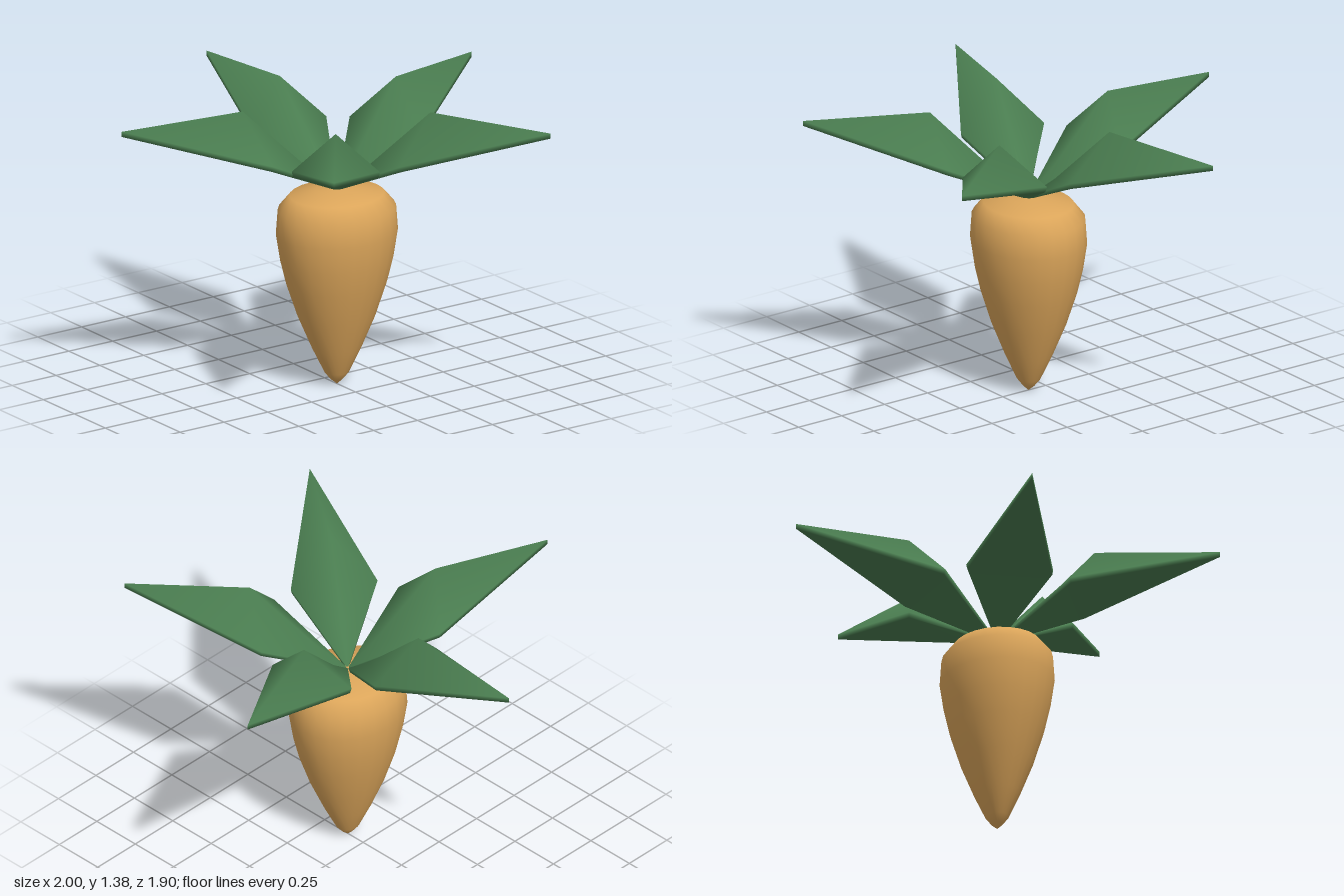
import * as THREE from 'three';

const CENTRE_Z = 0.1;

// Tapered root, slightly narrower front to back
function makeRoot() {
  const profile = [
    [0, 0], [0.03, 0.025], [0.06, 0.06], [0.12, 0.18], [0.19, 0.34], [0.245, 0.5],
    [0.275, 0.62], [0.296, 0.75], [0.287, 0.87], [0.23, 0.935], [0.1, 0.96], [0, 0.97],
  ].map(([r, y]) => new THREE.Vector2(r, y));
  const root = new THREE.Mesh(
    new THREE.LatheGeometry(profile, 24),
    new THREE.MeshStandardMaterial({ color: 0xdba55a, roughness: 0.9 })
  );
  root.name = 'root';
  root.scale.z = 0.88;
  return root;
}

// One kite-shaped leaf along +z: ridged top, thin rim, flat underside
function makeLeafGeometry() {
  const points = [
    [0, 0.965, 0],       // 0 stem
    [0, 1.085, 0.15],    // 1 inner ridge
    [0, 1.385, 0.46],    // 2 peak
    [0, 1.345, 1.05],    // 3 tip, upper
    [0.205, 1.17, 0.375], // 4 side, upper
    [-0.205, 1.17, 0.375], // 5 other side, upper
    [0, 1.32, 1.05],     // 6 tip, lower
    [0.2, 1.145, 0.38],  // 7 side, lower
    [-0.2, 1.145, 0.38], // 8 other side, lower
    [0, 0.95, 0.0],      // 9 stem, lower
  ];
  const faces = [
    0, 1, 4, 1, 2, 4, 2, 3, 4,    // top, +x half
    0, 5, 1, 1, 5, 2, 2, 5, 3,    // top, -x half
    4, 3, 6, 4, 6, 7, 0, 4, 7, 0, 7, 9, // rim, +x
    5, 6, 3, 5, 8, 6, 0, 8, 5, 0, 9, 8, // rim, -x
    9, 7, 8, 7, 6, 8,             // underside
  ].map((v) => v);
  // Each triangle is turned to face away from the leaf's middle
  const middle = new THREE.Vector3(0, 1.2, 0.45);
  const v = points.map((p) => new THREE.Vector3(...p));
  for (let i = 0; i < faces.length; i += 3) {
    const [a, b, c] = [v[faces[i]], v[faces[i + 1]], v[faces[i + 2]]];
    const normal = b.clone().sub(a).cross(c.clone().sub(a));
    if (normal.dot(a.clone().sub(middle)) < 0) {
      [faces[i + 1], faces[i + 2]] = [faces[i + 2], faces[i + 1]];
    }
  }
  const geometry = new THREE.BufferGeometry();
  geometry.setAttribute('position', new THREE.Float32BufferAttribute(points.flat(), 3));
  geometry.setIndex(faces);
  geometry.computeVertexNormals();
  return geometry;
}

export function createModel() {
  const model = new THREE.Group();
  model.name = 'carrot';
  model.position.z = CENTRE_Z;
  model.add(makeRoot());

  // Five leaves around the crown, one pointing straight back
  const leaves = new THREE.Group();
  leaves.name = 'leaves';
  const leafGeometry = makeLeafGeometry();
  const leafMaterial = new THREE.MeshStandardMaterial({
    color: 0x4a7d50, roughness: 0.9, side: THREE.DoubleSide,
  });
  for (let i = 0; i < 5; i++) {
    const leaf = new THREE.Mesh(leafGeometry, leafMaterial);
    leaf.name = `leaf${i + 1}`;
    leaf.rotation.y = Math.PI + (i * Math.PI * 2) / 5;
    leaves.add(leaf);
  }
  model.add(leaves);

  const group = new THREE.Group();
  group.name = 'carrotModel';
  group.add(model);
  return group;
}
